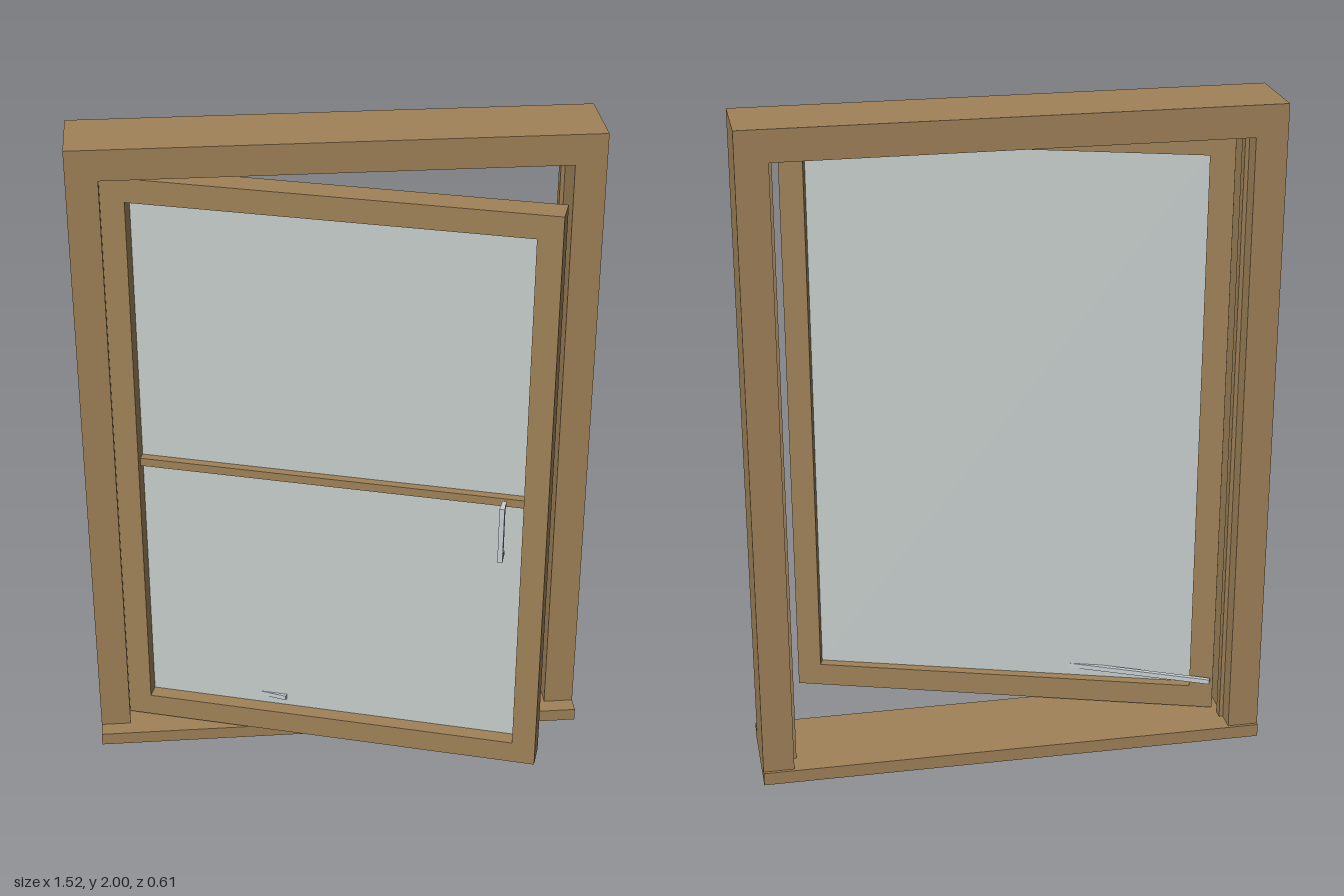
import * as THREE from 'three';

export function createModel() {
  const model = new THREE.Group();
  model.name = 'openWindow';

  const wood = new THREE.MeshStandardMaterial({ color: 0xa08259 });
  wood.name = 'wood';
  const pane = new THREE.MeshStandardMaterial({ color: 0xc6cecc });
  pane.name = 'paleGlass';
  const metal = new THREE.MeshStandardMaterial({ color: 0xc8d0d4 });
  metal.name = 'brushedMetal';

  // Box given by its lower and upper corners
  function box(parent, name, material, [x0, y0, z0], [x1, y1, z1]) {
    const mesh = new THREE.Mesh(new THREE.BoxGeometry(x1 - x0, y1 - y0, z1 - z0), material);
    mesh.position.set((x0 + x1) / 2, (y0 + y1) / 2, (z0 + z1) / 2);
    mesh.name = name;
    parent.add(mesh);
    return mesh;
  }

  // Fixed outer frame with a projecting sill
  const frame = new THREE.Group();
  frame.name = 'outerFrame';
  model.add(frame);
  const back = -0.295, front = -0.06;
  box(frame, 'sill', wood, [-0.762, 0, -0.304], [0.762, 0.04, -0.008]);
  box(frame, 'headRail', wood, [-0.762, 1.908, back], [0.762, 2, front]);
  for (const [side, s] of [['left', 1], ['right', -1]]) {
    const jamb = [0.67 * s, 0.762 * s].sort((a, b) => a - b);
    const stop = [0.658 * s, 0.67 * s].sort((a, b) => a - b);
    box(frame, side + 'Jamb', wood, [jamb[0], 0.04, back], [jamb[1], 1.908, front]);
    box(frame, side + 'Stop', wood, [stop[0], 0.04, -0.235], [stop[1], 1.908, -0.205]);
  }

  // Hinged sash, swung open towards the front
  const sash = new THREE.Group();
  sash.name = 'sash';
  sash.position.set(-0.67, 0, -0.113);
  sash.rotation.y = -0.302;
  model.add(sash);
  const W = 1.31, T = -0.084, rail = 0.072, y0 = 0.05, y1 = 1.9;
  box(sash, 'hingeStile', wood, [0, y0, T], [rail, y1, 0]);
  box(sash, 'freeStile', wood, [W - rail, y0, T], [W, y1, 0]);
  box(sash, 'bottomRail', wood, [rail, y0, T], [W - rail, y0 + rail, 0]);
  box(sash, 'topRail', wood, [rail, y1 - rail, T], [W - rail, y1, 0]);
  box(sash, 'glass', pane, [rail, y0 + rail, -0.055], [W - rail, y1 - rail, -0.046]);
  box(sash, 'glazingBar', wood, [rail, 0.962, -0.046], [W - rail, 0.988, -0.02]);

  // Pull handle: grip and two short posts
  const handle = new THREE.Group();
  handle.name = 'handle';
  sash.add(handle);
  box(handle, 'grip', metal, [1.176, 0.82, 0.046], [1.191, 1.002, 0.064]);
  for (const y of [0.82, 0.988])
    box(handle, 'post', metal, [1.177, y, 0.017], [1.19, y + 0.014, 0.046]);

  // Stay bar running from the hinge jamb to the sash
  const a = new THREE.Vector3(-0.63, 0.154, -0.21);
  const b = new THREE.Vector3(-0.172, 0.154, -0.001);
  const stay = new THREE.Mesh(new THREE.BoxGeometry(a.distanceTo(b), 0.015, 0.013), metal);
  stay.name = 'stayBar';
  stay.position.copy(a).add(b).multiplyScalar(0.5);
  stay.rotation.y = -Math.atan2(b.z - a.z, b.x - a.x);
  model.add(stay);

  return model;
}
